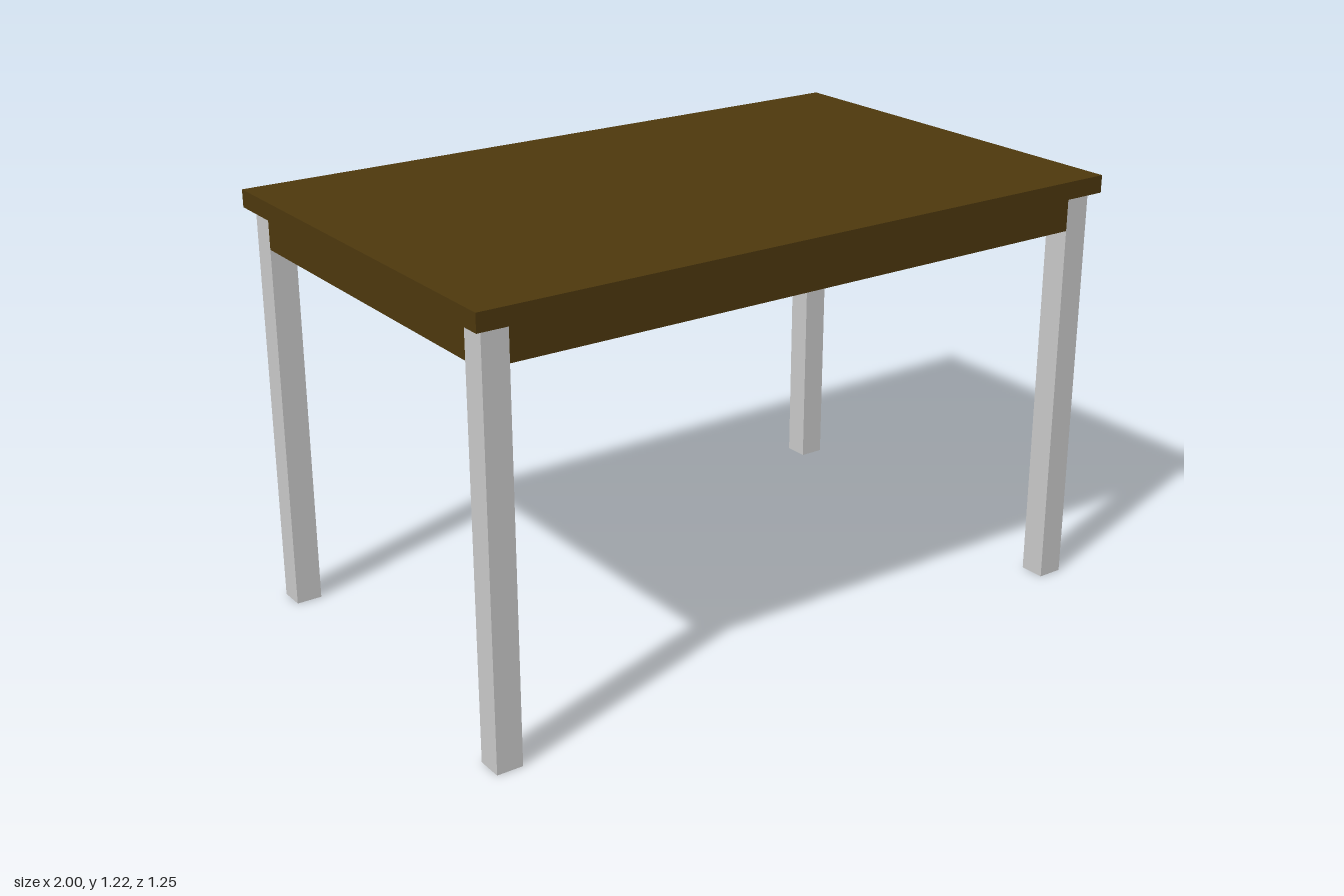
import * as THREE from 'three';

export function createModel() {
  const model = new THREE.Group();
  const wood = new THREE.MeshStandardMaterial({ color: 0x4d380d });
  wood.name = 'dark wood';
  const metal = new THREE.MeshStandardMaterial({ color: 0xc9c9c9 });
  metal.name = 'light grey metal';

  const addBox = (name, material, size, position) => {
    const mesh = new THREE.Mesh(new THREE.BoxGeometry(...size), material);
    mesh.name = name;
    mesh.position.set(...position);
    model.add(mesh);
  };

  const legX = 0.975, legZ = 0.6; // outer faces of the legs
  const leg = 0.075, legHeight = 1.17;
  const apron = 0.05, apronHeight = 0.1;
  const apronY = legHeight - apronHeight / 2;

  // Tabletop
  addBox('tabletop', wood, [2, 0.05, 1.25], [0, legHeight + 0.025, 0]);

  for (const s of [1, -1]) {
    // Aprons between the legs, flush with their outer faces
    addBox(s > 0 ? 'frontApron' : 'backApron', wood,
      [2 * (legX - leg), apronHeight, apron], [0, apronY, s * (legZ - apron / 2)]);
    addBox(s > 0 ? 'leftApron' : 'rightApron', wood,
      [apron, apronHeight, 2 * (legZ - leg)], [s * (legX - apron / 2), apronY, 0]);

    // Legs
    for (const t of [1, -1]) {
      addBox((t > 0 ? 'front' : 'back') + (s > 0 ? 'Left' : 'Right') + 'Leg', metal,
        [leg, legHeight, leg], [s * (legX - leg / 2), legHeight / 2, t * (legZ - leg / 2)]);
    }
  }
  return model;
}
